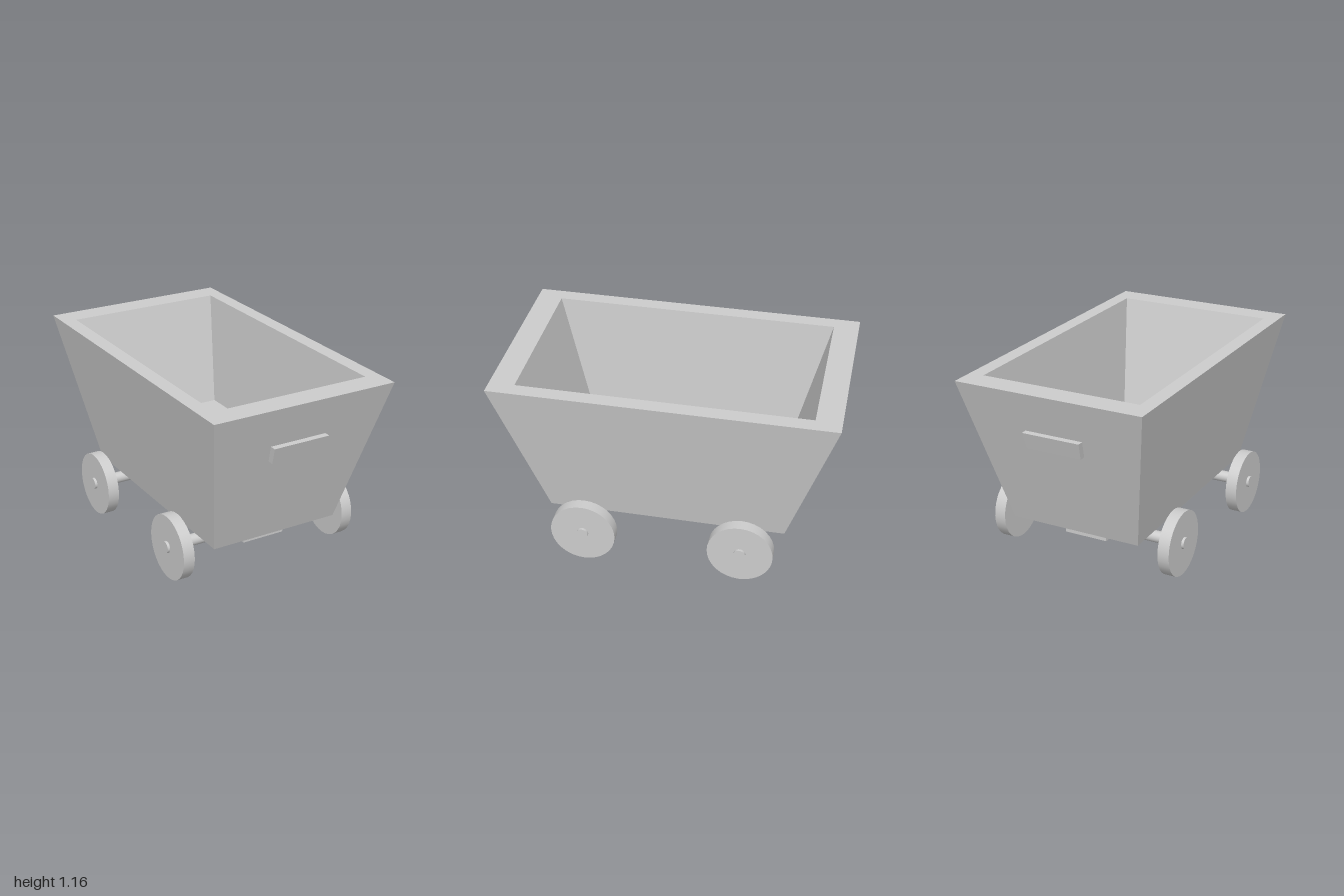
import * as THREE from 'three';

const material = new THREE.MeshStandardMaterial({ color: 0xcccccc });

function addMesh(parent, name, geometry, x = 0, y = 0, z = 0) {
  const mesh = new THREE.Mesh(geometry, material);
  mesh.name = name;
  mesh.position.set(x, y, z);
  parent.add(mesh);
  return mesh;
}

// Skin over a chain of rectangular sections [halfX, y, halfZ], closed at both ends
function rectangleLoft(sections) {
  const rings = sections.map(([x, y, z]) => [[x, y, z], [x, y, -z], [-x, y, -z], [-x, y, z]]);
  const positions = [];
  const quad = (a, b, c, d) => positions.push(...a, ...b, ...c, ...a, ...c, ...d);
  const first = rings[0];
  quad(first[3], first[2], first[1], first[0]);
  for (let i = 0; i < rings.length - 1; i++) {
    for (let j = 0; j < 4; j++) {
      const k = (j + 1) % 4;
      quad(rings[i][j], rings[i][k], rings[i + 1][k], rings[i + 1][j]);
    }
  }
  quad(...rings[rings.length - 1]);
  const geometry = new THREE.BufferGeometry();
  geometry.setAttribute('position', new THREE.Float32BufferAttribute(positions, 3));
  geometry.computeVertexNormals();
  return geometry;
}

// Bar sheared to follow the sloping end wall, slightly narrower at its lower edge
function handleGeometry() {
  const geometry = new THREE.BoxGeometry(2, 0.102, 0.06).toNonIndexed();
  const p = geometry.attributes.position;
  for (let i = 0; i < p.count; i++) {
    const y = p.getY(i);
    p.setX(i, p.getX(i) * (0.174 + y * 0.07));
    p.setZ(i, p.getZ(i) + y * 0.313);
  }
  geometry.computeVertexNormals();
  return geometry;
}

export function createModel() {
  const cart = new THREE.Group();
  cart.name = 'cart';

  // Tapered tub: outer wall, rim, inner wall, raised floor
  addMesh(cart, 'tub', rectangleLoft([
    [0.406, 0.25, 0.714],
    [0.577, 1.158, 1],
    [0.488, 1.158, 0.85],
    [0.415, 0.487, 0.673],
  ]));

  const cylinder = (radius, length) =>
    new THREE.CylinderGeometry(radius, radius, length, 32).rotateZ(Math.PI / 2);
  const wheel = cylinder(0.196, 0.07);
  const axle = cylinder(0.035, 1.184);
  const block = new THREE.BoxGeometry(0.27, 0.095, 0.23);
  const handle = handleGeometry();

  for (const [end, side] of [['front', 1], ['back', -1]]) {
    // Handle on the end wall
    const grip = addMesh(cart, end + 'Handle', handle, 0, 0.862, side * 0.915);
    if (side < 0) grip.rotation.y = Math.PI;

    // Axle with its mounting block and two wheels
    const axleSet = new THREE.Group();
    axleSet.name = end + 'AxleSet';
    axleSet.position.z = side * 0.475;
    cart.add(axleSet);
    addMesh(axleSet, end + 'Axle', axle, 0, 0.2, 0);
    addMesh(axleSet, end + 'AxleBlock', block, 0, 0.204, 0);
    addMesh(axleSet, end + 'LeftWheel', wheel, 0.542, 0.196, 0);
    addMesh(axleSet, end + 'RightWheel', wheel, -0.542, 0.196, 0);
  }
  return cart;
}
